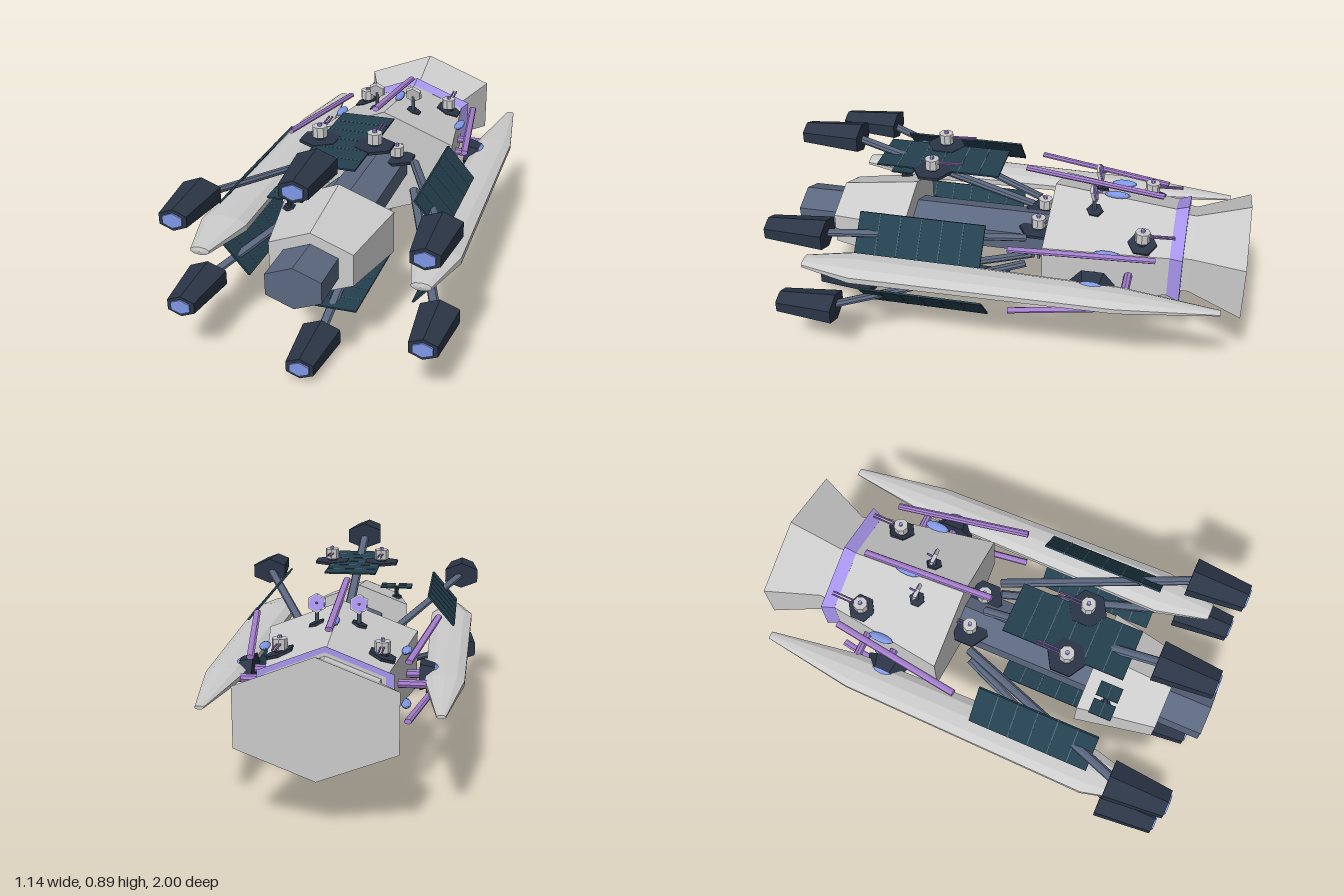
import * as THREE from 'three';

const mat = (color) => new THREE.MeshStandardMaterial({ color, flatShading: true });
const GREY = mat(0xcccccc), SLATE = mat(0x5c6880), DARK = mat(0x2b3546), PANEL = mat(0x24404f);
const LINE = mat(0x4a6676), GLOW = mat(0x8099e6), PURPLE = mat(0xa67fd0), LILAC = mat(0xa896ee);

const CY = 0.445;     // height of the ship's axis
const SQUASH = 0.675; // the hexagonal body is flattened vertically

export function createModel() {
  const root = new THREE.Group();
  root.name = 'spaceship';

  const add = (parent, name, geo, material, x = 0, y = 0, z = 0) => {
    const m = new THREE.Mesh(geo, material);
    m.name = name;
    m.position.set(x, y, z);
    parent.add(m);
    return m;
  };
  const group = (parent, name, x = 0, y = 0, z = 0) => {
    const g = new THREE.Group();
    g.name = name;
    g.position.set(x, y, z);
    parent.add(g);
    return g;
  };
  // Prism or frustum lying along z, from z0 (radius r0) to z1 (radius r1)
  const alongZ = (parent, name, material, z0, r0, z1, r1, y = 0, sides = 6) =>
    add(parent, name, new THREE.CylinderGeometry(r1, r0, z1 - z0, sides).rotateX(Math.PI / 2),
      material, 0, y, (z0 + z1) / 2);
  // Round bar between two points
  const bar = (parent, name, material, a, b, r, sides = 8) => {
    const p = new THREE.Vector3(...a), q = new THREE.Vector3(...b);
    const d = q.clone().sub(p);
    const m = add(parent, name, new THREE.CylinderGeometry(r, r, d.length(), sides), material);
    m.position.copy(p).add(q).multiplyScalar(0.5);
    m.quaternion.setFromUnitVectors(new THREE.Vector3(0, 1, 0), d.normalize());
    return m;
  };

  // Flattened hexagonal body
  const body = group(root, 'body', 0, CY, 0);
  body.scale.y = SQUASH;
  alongZ(body, 'spine', SLATE, -0.2, 0.13, 1, 0.13);
  alongZ(body, 'frontModule', GREY, 0.47, 0.27, 0.81, 0.2);
  alongZ(body, 'rearHull', GREY, -0.74, 0.27, -0.16, 0.37);
  alongZ(body, 'engineCollar', LILAC, -0.74, 0.306, -0.685, 0.28);
  alongZ(body, 'engineNeck', GREY, -0.78, 0.243, -0.73, 0.25);
  alongZ(body, 'engineBell', GREY, -1, 0.353, -0.77, 0.243);

  // Six identical spokes: strut, thruster pod, solar panel, rod and sensor blister
  for (let i = 0; i < 6; i++) {
    const spoke = group(body, 'spoke');
    spoke.rotation.z = i * Math.PI / 3;
    bar(spoke, 'strut', SLATE, [0, 0.2, -0.06], [0, 0.556, 0.73], 0.021);
    alongZ(spoke, 'thrusterPod', DARK, 0.71, 0.0925, 0.965, 0.066, 0.566);
    alongZ(spoke, 'thrusterGlow', GLOW, 0.96, 0.046, 0.972, 0.046, 0.566);
    add(spoke, 'solarPanel', new THREE.BoxGeometry(0.23, 0.01, 0.54), PANEL, 0, 0.475, 0.34);
    for (let k = 1; k < 6; k++)
      add(spoke, 'panelSeam', new THREE.BoxGeometry(0.23, 0.013, 0.004), LINE, 0, 0.475, 0.07 + k * 0.09);
    bar(spoke, 'rod', PURPLE, [0, 0.467, -0.03], [0, 0.36, -0.63], 0.016);
    const blister = add(spoke, 'sensorBlister', new THREE.SphereGeometry(1, 12, 8), GLOW, 0, 0.337, -0.43);
    blister.scale.set(0.018, 0.022, 0.057);
  }

  // Side nacelles with their mounts
  const profile = [[0, -0.915], [0.018, -0.915], [0.083, -0.5], [0.104, 0.62], [0.042, 0.85], [0, 0.855]]
    .map(([r, z]) => new THREE.Vector2(r, z));
  for (const s of [-1, 1]) {
    const nacelle = add(root, 'nacelle', new THREE.LatheGeometry(profile, 10).rotateX(Math.PI / 2),
      GREY, s * 0.449, CY + 0.003, 0);
    nacelle.scale.y = 0.41;
    const mount = group(root, 'nacelleMount', s * 0.375, CY, -0.38);
    mount.scale.y = SQUASH;
    mount.rotation.z = -s * Math.PI / 2;
    mount.scale.set(SQUASH, 1, 1);
    add(mount, 'mountBase', new THREE.CylinderGeometry(0.07, 0.095, 0.06, 6), DARK);
    add(mount, 'mountLens', new THREE.CylinderGeometry(0.045, 0.068, 0.02, 12), GLOW, 0, 0.04, 0);
    bar(root, 'nacelleLink', PURPLE, [s * 0.25, CY, -0.52], [s * 0.42, CY, -0.52], 0.018);
    bar(root, 'nacelleLink', PURPLE, [s * 0.29, CY, -0.38], [s * 0.36, CY, -0.38], 0.018);
  }

  // Gun turrets, firing toward the rear
  const turret = (x, y, z, r, tilt) => {
    const t = group(root, 'turret', x, y, z);
    const base = add(t, 'turretPlatform', new THREE.CylinderGeometry(r, r, 0.012, 6), DARK);
    base.rotation.z = tilt;
    add(t, 'turretBody', new THREE.CylinderGeometry(0.032, 0.032, 0.045, 8), GREY, 0, 0.037, 0);
    add(t, 'turretFoot', new THREE.CylinderGeometry(0.022, 0.022, 0.03, 8), DARK, 0, 0.008, 0);
    add(t, 'turretCap', new THREE.CylinderGeometry(0.009, 0.009, 0.012, 6), LILAC, 0, 0.065, 0);
    for (const s of [-1, 1])
      bar(t, 'barrel', PURPLE, [s * 0.007, 0.04, -0.02], [s * 0.007, 0.046, -0.135], 0.004, 6);
  };
  for (const s of [-1, 1]) {
    turret(s * 0.117, 0.765, 0.36, 0.085, 0);
    turret(s * 0.08, 0.505, -0.1, 0.085, 0);
    turret(s * 0.205, 0.572, -0.565, 0.062, -s * 0.37);

    // Communication dishes on the rear hull
    const dish = group(root, 'dish', s * 0.088, 0.635, -0.345);
    const foot = add(dish, 'dishFoot', new THREE.CylinderGeometry(0.035, 0.04, 0.02, 6), DARK);
    foot.rotation.z = -s * 0.37;
    bar(dish, 'dishStem', SLATE, [0, 0, 0], [0, 0.08, 0.005], 0.009);
    const head = group(dish, 'dishHead', 0, 0.088, 0.005);
    head.rotation.x = 0.25;
    alongZ(head, 'dishPlate', GREY, -0.006, 0.042, 0.008, 0.036);
    alongZ(head, 'dishFace', LILAC, -0.01, 0.036, -0.005, 0.036);
    bar(head, 'dishFeed', PURPLE, [0, 0, 0], [0, 0, -0.035], 0.005, 6);
  }

  // Small solar array on the front module
  const array = group(root, 'smallArray', -0.175, 0.605, 0.575);
  bar(array, 'arrayStem', DARK, [0, -0.07, 0], [0, 0, 0], 0.01);
  add(array, 'arrayFoot', new THREE.CylinderGeometry(0.025, 0.03, 0.012, 6), DARK, 0, -0.055, 0);
  for (const s of [-1, 1]) {
    add(array, 'arrayWing', new THREE.BoxGeometry(0.068, 0.006, 0.1), PANEL, s * 0.042, 0, 0);
    add(array, 'arraySeam', new THREE.BoxGeometry(0.068, 0.008, 0.003), LINE, s * 0.042, 0, 0);
  }

  // Hatch on the other side of the front module
  const hatch = add(root, 'hatch', new THREE.CylinderGeometry(0.026, 0.032, 0.016, 6), DARK, 0.185, 0.528, 0.58);
  hatch.rotation.set(0.13, 0, -0.45);

  // Cooling ribs beneath the spine
  for (let k = 0; k < 4; k++)
    add(root, 'coolingRib', new THREE.BoxGeometry(0.06, 0.06, 0.01), SLATE, 0, 0.34, -0.092 - k * 0.018);

  return root;
}
